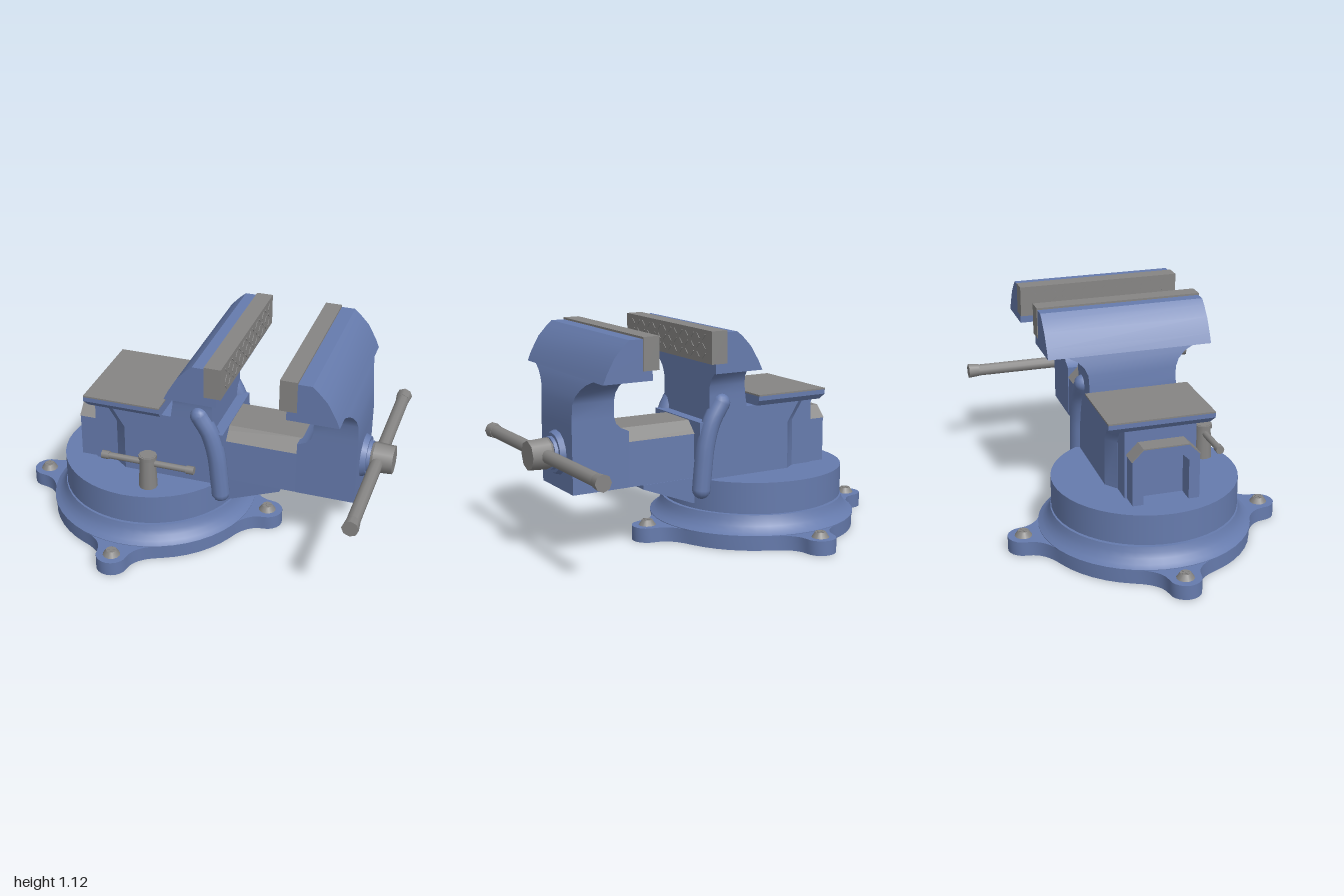
import * as THREE from 'three';
import { toCreasedNormals } from 'three/addons/utils/BufferGeometryUtils.js';

const blue = new THREE.MeshStandardMaterial({ color: 0x667bad });
blue.name = 'blue paint';
const grey = new THREE.MeshStandardMaterial({ color: 0x868584 });
grey.name = 'bare steel';

// Solid through horizontal convex rings [y, [[x, z], ...]], listed from bottom to top
function loft(rings) {
  const n = rings[0][1].length, pos = [], idx = [];
  rings.forEach(([y, pts]) => pts.forEach(([x, z]) => pos.push(x, y, z)));
  for (let i = 0; i < rings.length - 1; i++) {
    for (let j = 0; j < n; j++) {
      const a = i * n + j, b = i * n + (j + 1) % n;
      idx.push(a, b, b + n, a, b + n, a + n);
    }
  }
  const top = (rings.length - 1) * n;
  for (let j = 1; j < n - 1; j++) idx.push(0, j + 1, j, top, top + j, top + j + 1);
  const g = new THREE.BufferGeometry();
  g.setAttribute('position', new THREE.Float32BufferAttribute(pos, 3));
  g.setIndex(idx);
  return toCreasedNormals(g, 0.45);
}

// Rectangular ring: height, x range, half width in z
const rect = (y, x0, x1, h) => [y, [[x0, h], [x1, h], [x1, -h], [x0, -h]]];
const rectLoft = (rows) => loft(rows.map((r) => rect(...r)));

// Outline drawn in (z, y) and extruded along x
function extrudeX(points, x0, x1) {
  const shape = new THREE.Shape(points.map(([z, y]) => new THREE.Vector2(-z, y)));
  const g = new THREE.ExtrudeGeometry(shape, { depth: x1 - x0, bevelEnabled: false });
  return g.rotateY(Math.PI / 2).translate(x0, 0, 0);
}

export function createModel() {
  const model = new THREE.Group();
  model.name = 'benchVise';
  const add = (name, geometry, material, parent = model) => {
    const mesh = new THREE.Mesh(geometry, material);
    mesh.name = name;
    parent.add(mesh);
    return mesh;
  };
  const box = (x0, x1, y0, y1, z0, z1) => new THREE.BoxGeometry(x1 - x0, y1 - y0, z1 - z0)
    .translate((x0 + x1) / 2, (y0 + y1) / 2, (z0 + z1) / 2);
  const cx = -0.285;

  // Base flange with four bolt ears
  const outline = [];
  for (let k = 0; k < 4; k++) {
    const a = k * Math.PI / 2;
    const put = (u, v) => outline.push(new THREE.Vector2(
      u * Math.cos(a) - v * Math.sin(a), u * Math.sin(a) + v * Math.cos(a)));
    const fillet = new THREE.QuadraticBezierCurve(new THREE.Vector2(0.495, 0.215),
      new THREE.Vector2(0.545, 0.085), new THREE.Vector2(0.635, 0.08)).getPoints(6);
    fillet.forEach((p) => put(p.x, -p.y));
    for (let i = 1; i < 10; i++) {
      const t = -Math.PI / 2 + i * Math.PI / 10;
      put(0.635 + 0.08 * Math.cos(t), 0.08 * Math.sin(t));
    }
    fillet.reverse().forEach((p) => put(p.x, p.y));
    for (let i = 1; i < 6; i++) {
      const t = 0.41 + i * (Math.PI / 2 - 0.82) / 6;
      put(0.54 * Math.cos(t), 0.54 * Math.sin(t));
    }
  }
  const flange = new THREE.Shape(outline);
  for (let k = 0; k < 4; k++) {
    const a = k * Math.PI / 2;
    flange.holes.push(new THREE.Path().absarc(
      0.635 * Math.cos(a), 0.635 * Math.sin(a), 0.028, 0, Math.PI * 2, true));
  }
  add('baseFlange', toCreasedNormals(new THREE.ExtrudeGeometry(flange,
    { depth: 0.075, bevelEnabled: false, curveSegments: 8 })
    .rotateX(-Math.PI / 2).translate(cx, 0, 0), 0.5), blue);

  // Coved base top and the swivel disc
  const cove = [[0.545, 0.07], [0.545, 0.078], [0.522, 0.092], [0.502, 0.115],
    [0.488, 0.14], [0.48, 0.167], [0, 0.167]].map((p) => new THREE.Vector2(...p));
  add('baseCove', toCreasedNormals(new THREE.LatheGeometry(cove, 48), 0.5), blue).position.x = cx;
  add('swivelNeck', new THREE.CylinderGeometry(0.46, 0.46, 0.02, 48), blue).position.set(cx, 0.17, 0);
  add('swivelDisc', new THREE.CylinderGeometry(0.475, 0.475, 0.158, 48), blue).position.set(cx, 0.254, 0);

  // Bolts with a cross on the head
  for (let k = 0; k < 4; k++) {
    const bolt = new THREE.Group();
    bolt.name = 'baseBolt';
    bolt.position.set(cx + 0.635 * Math.cos(k * Math.PI / 2), 0.075, 0.635 * Math.sin(k * Math.PI / 2));
    add('boltHead', new THREE.CylinderGeometry(0.027, 0.045, 0.027, 12).translate(0, 0.0135, 0), grey, bolt);
    for (const turn of [0.4, 0.4 + Math.PI / 2]) {
      add('boltCross', new THREE.BoxGeometry(0.045, 0.004, 0.011), grey, bolt).position.y = 0.028;
      bolt.children.at(-1).rotation.y = turn;
    }
    model.add(bolt);
  }

  // Wedge under the slide
  const wedge = new THREE.Shape([[0.1, 0.2], [0.17, 0.2], [0.455, 0.31], [0.455, 0.332], [0.1, 0.332]]
    .map((p) => new THREE.Vector2(...p)));
  add('slideWedge', new THREE.ExtrudeGeometry(wedge, { depth: 0.32, bevelEnabled: false })
    .translate(0, 0, -0.16), blue);

  // Fixed body with angled rear corners and a rear collar
  const bodyRing = (y, xa, x1) => [y, [[xa, 0.185], [xa + 0.06, 0.23], [x1, 0.23],
    [x1, -0.23], [xa + 0.06, -0.23], [xa, -0.185]]];
  add('fixedBody', loft([bodyRing(0.33, -0.42, 0.17), bodyRing(0.58, -0.42, 0.17),
    bodyRing(0.63, -0.452, 0.17), bodyRing(0.63, -0.452, 0.115), bodyRing(0.688, -0.49, 0.115)]), blue);
  add('rearCollar', box(-0.54, -0.4, 0.33, 0.69, -0.182, 0.182), blue);

  // Anvil with a steel top
  add('anvil', rectLoft([[0.688, -0.545, -0.155, 0.25], [0.715, -0.565, -0.155, 0.27],
    [0.738, -0.565, -0.155, 0.27]]), blue);
  add('anvilTop', box(-0.565, -0.155, 0.738, 0.746, -0.27, 0.27), grey);

  // Fixed jaw
  add('fixedJaw', rectLoft([
    [0.6, -0.1, 0.115, 0.23], [0.69, -0.105, 0.115, 0.23], [0.76, -0.095, 0.115, 0.23],
    [0.81, -0.09, 0.115, 0.232], [0.85, -0.082, 0.115, 0.25], [0.885, -0.072, 0.115, 0.285],
    [0.907, -0.065, 0.115, 0.33], [0.907, -0.065, 0.2, 0.432], [0.955, -0.042, 0.2, 0.432],
    [0.955, -0.042, 0.14, 0.432], [1.03, 0.003, 0.14, 0.432], [1.08, 0.05, 0.14, 0.432],
    [1.105, 0.08, 0.14, 0.432]]), blue);

  // Moving jaw
  add('movingJaw', rectLoft([
    [0.337, 0.54, 0.845, 0.176], [0.62, 0.54, 0.845, 0.176], [0.64, 0.585, 0.845, 0.176],
    [0.665, 0.61, 0.845, 0.176], [0.7, 0.62, 0.845, 0.176], [0.78, 0.62, 0.84, 0.178],
    [0.82, 0.62, 0.832, 0.195], [0.855, 0.62, 0.822, 0.23], [0.885, 0.62, 0.812, 0.275],
    [0.907, 0.62, 0.802, 0.33], [0.907, 0.545, 0.802, 0.432], [0.955, 0.545, 0.782, 0.432],
    [0.955, 0.595, 0.782, 0.432], [1.03, 0.595, 0.74, 0.432], [1.08, 0.595, 0.693, 0.432],
    [1.105, 0.595, 0.665, 0.432]]), blue);

  // Steel jaw plates with a knurled gripping face
  for (const [name, x0, x1, face] of [['fixedJawPlate', 0.14, 0.225, 0.225], ['movingJawPlate', 0.51, 0.595, 0.51]]) {
    add(name, box(x0, x1, 0.955, 1.115, -0.436, 0.436), grey);
    for (let i = 0; i < 14; i++) {
      for (let j = 0; j < 3; j++) {
        const ridge = add('knurl', new THREE.BoxGeometry(0.006, 0.036, 0.006), grey);
        ridge.position.set(face, 0.99 + j * 0.045, -0.36 + i * 0.0554);
        ridge.rotation.x = (i + j) % 2 ? 0.8 : -0.8;
      }
    }
  }

  // Slide: hollow channel at the rear, solid in front, steel skin on top
  const slideTop = [[0.17, 0.565], [0.115, 0.62], [-0.115, 0.62], [-0.17, 0.565]];
  add('slideChannel', extrudeX([[0.17, 0.332], ...slideTop, [-0.17, 0.332], [-0.115, 0.332],
    [-0.115, 0.54], [-0.085, 0.57], [0.085, 0.57], [0.115, 0.54], [0.115, 0.332]], -0.63, 0), blue);
  add('slideBar', extrudeX([[0.174, 0.337], ...slideTop, [-0.174, 0.337]], 0, 0.56), blue);
  add('slideSkin', extrudeX([[0.176, 0.565], [0.116, 0.626], [-0.116, 0.626], [-0.176, 0.565],
    ...slideTop.slice().reverse()], -0.631, 0.56), grey);

  // Curved ribs on both sides of the body
  for (const s of [1, -1]) {
    const path = new THREE.CatmullRomCurve3([[0.045, 0.72], [0.1, 0.63], [0.135, 0.51], [0.15, 0.39], [0.16, 0.285]]
      .map(([x, y]) => new THREE.Vector3(x, y, s * 0.225)));
    add('sideRib', new THREE.TubeGeometry(path, 14, 0.047, 12), blue);
    for (const t of [0, 1]) {
      add('ribEnd', new THREE.SphereGeometry(0.047, 12, 8), blue).position.copy(path.getPoint(t));
    }
  }

  // Swivel lock
  add('lockPost', new THREE.CylinderGeometry(0.04, 0.048, 0.185, 10), grey).position.set(-0.187, 0.427, 0.352);
  add('lockPostCap', new THREE.CylinderGeometry(0.047, 0.047, 0.02, 10), grey).position.set(-0.187, 0.507, 0.352);
  const lockBar = new THREE.Group();
  lockBar.name = 'lockBar';
  lockBar.position.set(-0.187, 0.473, 0.352);
  add('lockRod', new THREE.CylinderGeometry(0.017, 0.017, 0.49, 8).rotateZ(Math.PI / 2), grey, lockBar);
  for (const s of [1, -1]) {
    add('lockRodEnd', new THREE.CylinderGeometry(0.022, 0.022, 0.04, 8).rotateZ(Math.PI / 2), grey, lockBar)
      .position.x = s * 0.228;
  }
  model.add(lockBar);

  // Screw collar, hub and sliding handle
  const alongX = (r0, r1, len, n) => new THREE.CylinderGeometry(r1, r0, len, n).rotateZ(-Math.PI / 2);
  add('screwCollar', alongX(0.112, 0.1, 0.028, 16), blue).position.set(0.858, 0.517, 0);
  add('screwCollarStep', alongX(0.085, 0.08, 0.02, 16), blue).position.set(0.878, 0.517, 0);
  add('screwHub', alongX(0.07, 0.08, 0.03, 8), grey).position.set(0.885, 0.517, 0);
  add('screwHubHead', alongX(0.08, 0.074, 0.1, 8), grey).position.set(0.95, 0.517, 0);
  add('handleRod', new THREE.CylinderGeometry(0.033, 0.033, 1.26, 10).rotateX(Math.PI / 2), grey)
    .position.set(0.923, 0.517, -0.01);
  for (const z of [0.618, -0.636]) {
    const out = Math.sign(z);
    add('handleKnob', new THREE.CylinderGeometry(0.042, 0.036, 0.058, 8).rotateX(out * Math.PI / 2), grey)
      .position.set(0.923, 0.517, z);
  }
  return model;
}
